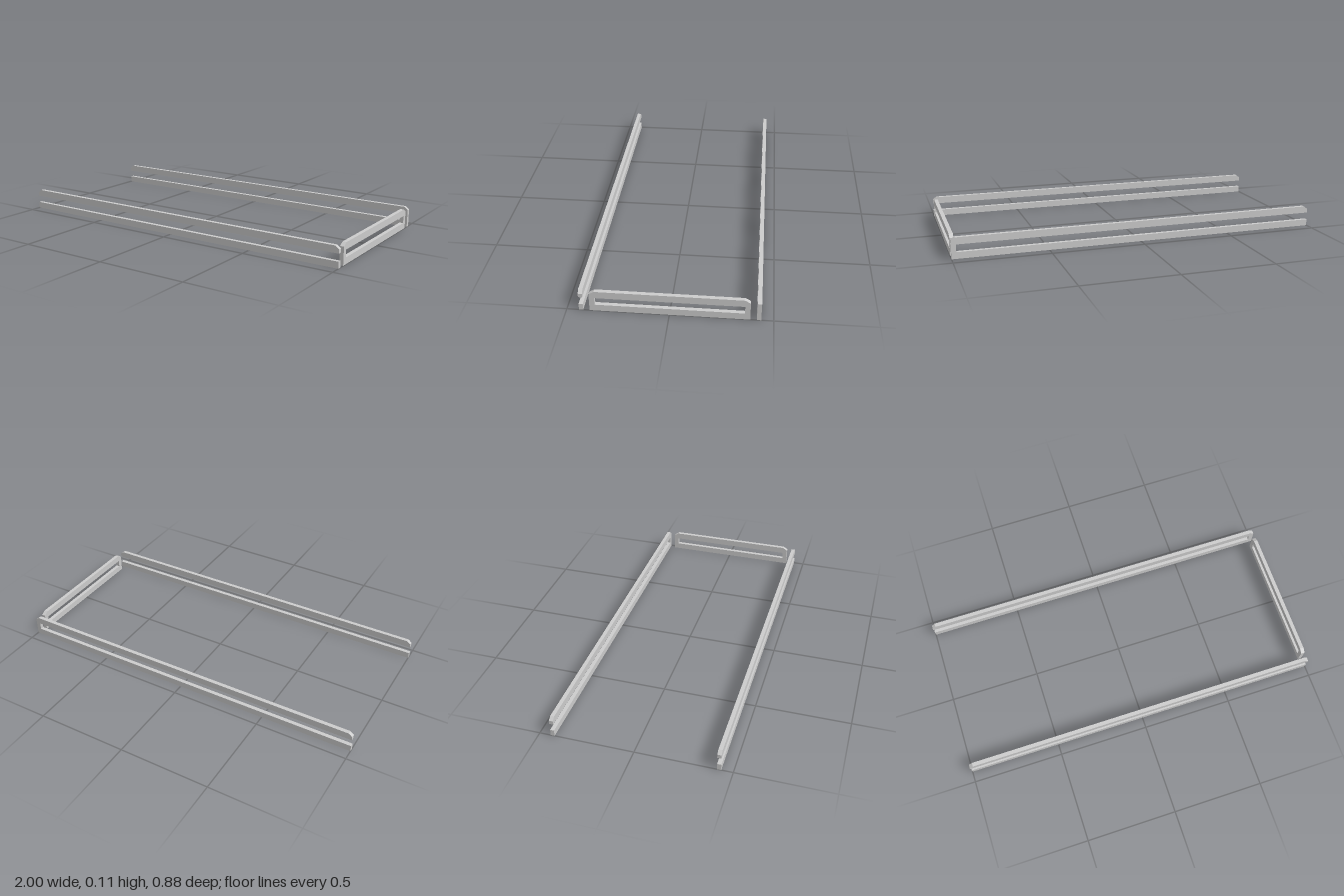
import * as THREE from 'three';

const TOP = 0.112, SHOULDER = 0.096, SLOT_LOW = 0.035, SLOT_HIGH = 0.075, THICK = 0.021;
const material = new THREE.MeshStandardMaterial({ color: 0xcccccc, flatShading: true });

const outline = (points) => new THREE.Shape(points.map(([x, y]) => new THREE.Vector2(x, y)));

// Flat plate with the given outline, centred on its own thickness
function plate(name, shape) {
  const geometry = new THREE.ExtrudeGeometry(shape, { depth: THICK, bevelEnabled: false });
  geometry.translate(0, 0, -THICK / 2);
  const mesh = new THREE.Mesh(geometry, material);
  mesh.name = name;
  return mesh;
}

export function createModel() {
  const group = new THREE.Group();
  group.name = 'railFrame';
  const cut = 0.02;

  // Front side: two separate rails, the upper one with clipped top corners
  const upper = plate('frontUpperRail', outline([
    [-1, SLOT_HIGH], [1, SLOT_HIGH], [1, SHOULDER], [1 - cut, TOP], [-1 + cut, TOP], [-1, SHOULDER],
  ]));
  const lower = plate('frontLowerRail', outline([[-1, 0], [1, 0], [1, SLOT_LOW], [-1, SLOT_LOW]]));
  upper.position.z = lower.position.z = 0.43;

  // Back side: both rails joined by a post at the left end
  const back = plate('backRailWithPost', outline([
    [-1, 0], [1, 0], [1, SHOULDER], [1 - cut, TOP], [-1 + cut, TOP], [-1, SHOULDER],
    [-1, SLOT_HIGH], [0.975, SLOT_HIGH], [0.975, SLOT_LOW], [-1, SLOT_LOW],
  ]));
  back.position.z = -0.43;

  // Closed frame with a long slot across the left end
  const h = 0.388, s = 0.362;
  const endShape = outline([[-h, 0], [h, 0], [h, SHOULDER], [s, TOP], [-s, TOP], [-h, SHOULDER]]);
  endShape.holes.push(outline([[-s, SLOT_LOW], [-s, SLOT_HIGH], [s, SLOT_HIGH], [s, SLOT_LOW]]));
  const end = plate('endFrame', endShape);
  end.rotation.y = Math.PI / 2;
  end.position.x = 1 - THICK / 2;

  group.add(upper, lower, back, end);
  return group;
}
